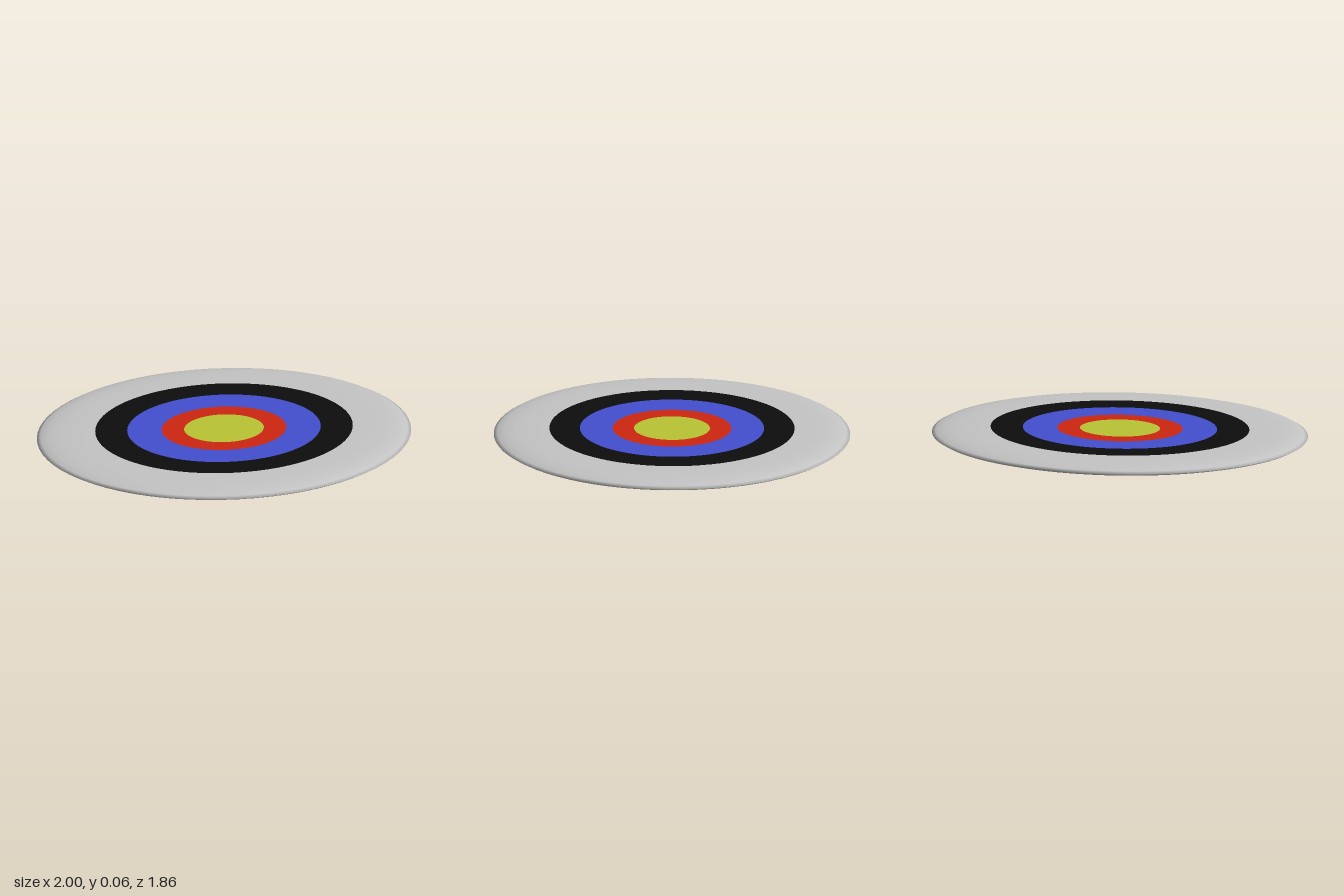
import * as THREE from 'three';
import { mergeGeometries } from 'three/addons/utils/BufferGeometryUtils.js';

const HEIGHT = 0.065;
const DEPTH = 0.928; // the disc is slightly oval
const SEGMENTS = 72;

function ovalLathe(points) {
  const geometry = new THREE.LatheGeometry(points.map(([r, y]) => new THREE.Vector2(r, y)), SEGMENTS);
  return geometry.scale(1, 1, DEPTH);
}

// Flat ring of one colour on both faces of the disc
function twoSidedRing(inner, outer) {
  return mergeGeometries([
    ovalLathe([[inner, 0], [outer, 0]]),
    ovalLathe([[outer, HEIGHT], [inner, HEIGHT]]),
  ]);
}

export function createModel() {
  const model = new THREE.Group();
  model.name = 'targetDisc';

  const add = (name, geometry, materialName, color) => {
    const material = new THREE.MeshStandardMaterial({ color });
    material.name = materialName;
    const mesh = new THREE.Mesh(geometry, material);
    mesh.name = name;
    model.add(mesh);
  };

  // Coloured bands from the centre outwards
  const bands = [
    ['bullseye', 0, 0.213, 'yellow', 0xbac434],
    ['innerRing', 0.213, 0.333, 'red', 0xcc2610],
    ['middleRing', 0.333, 0.517, 'blue', 0x434fd0],
    ['outerRing', 0.517, 0.688, 'black', 0x0d0d0d],
  ];
  for (const [name, inner, outer, colorName, color] of bands) {
    add(name, twoSidedRing(inner, outer), colorName, color);
  }

  // Grey border with a thin rounded rim, from the underside round to the top
  add('rim', ovalLathe([
    [0.688, 0], [0.8, 0.001], [0.88, 0.005], [0.94, 0.012], [0.98, 0.022], [1, 0.033],
    [0.98, 0.044], [0.94, 0.054], [0.88, 0.061], [0.8, 0.064], [0.688, HEIGHT],
  ]), 'grey', 0xc4c4c4);

  return model;
}
